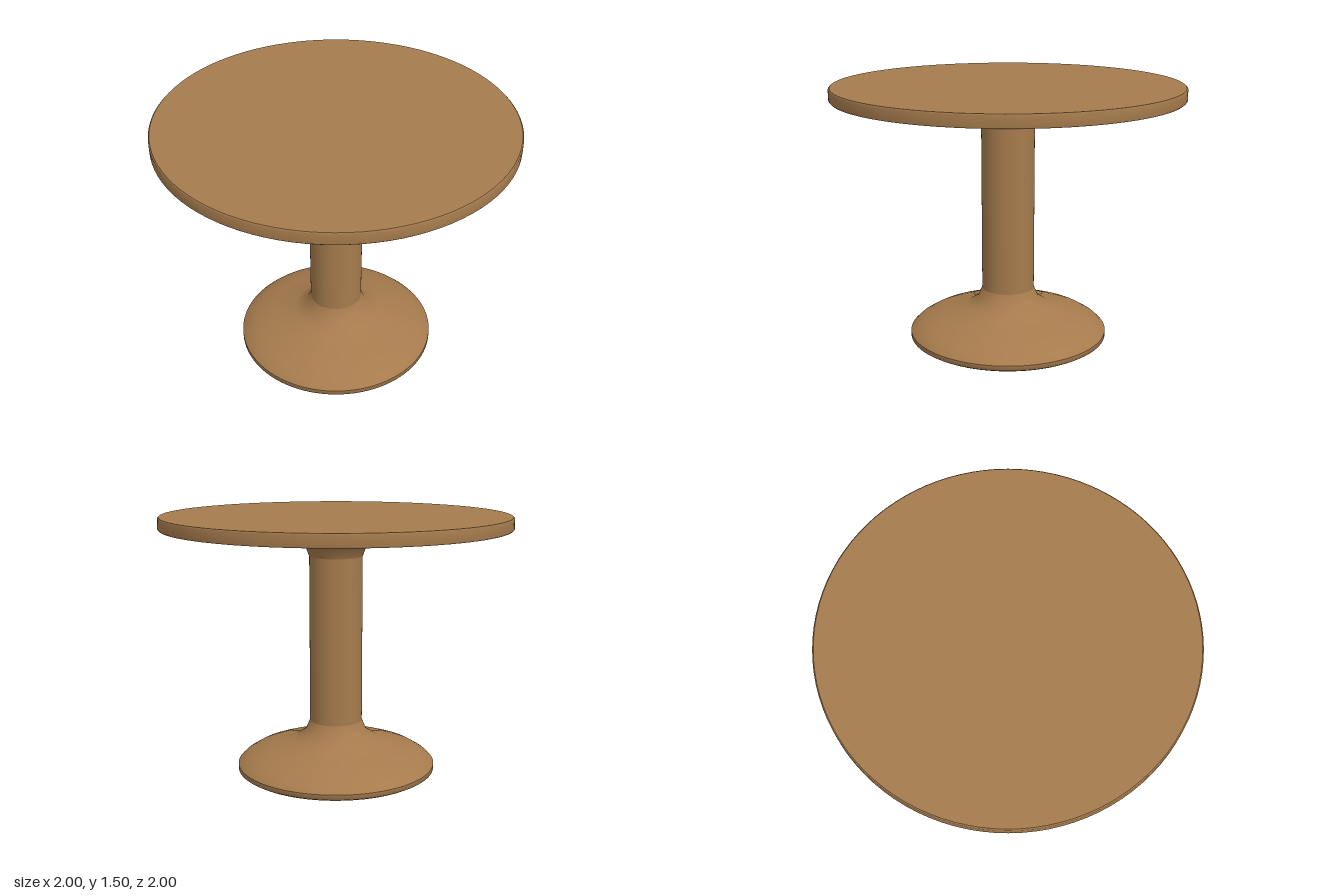
import * as THREE from 'three';

const wood = new THREE.MeshStandardMaterial({ color: 0xa67b4d });
wood.name = 'warm wood';

// Turns a profile of [radius, height] points, listed so faces point outward
function turned(name, profile) {
  const points = profile.map(([r, y]) => new THREE.Vector2(r, y));
  const mesh = new THREE.Mesh(new THREE.LatheGeometry(points, 96), wood);
  mesh.name = name;
  return mesh;
}

export function createModel() {
  const table = new THREE.Group();
  table.name = 'pedestalTable';

  // Flared foot, straight column and spreading collar in one turned piece
  const pedestal = new THREE.Group();
  pedestal.name = 'pedestal';
  pedestal.add(
    turned('footUnderside', [[0, 0], [0.56, 0]]),
    turned('footEdge', [[0.56, 0], [0.58, 0.012], [0.58, 0.04]]),
    turned('foot', [
      [0.58, 0.04], [0.555, 0.065], [0.5, 0.1], [0.39, 0.14],
      [0.25, 0.18], [0.18, 0.23], [0.153, 0.295],
    ]),
    turned('column', [[0.153, 0.295], [0.153, 1.265]]),
    turned('collar', [[0.153, 1.265], [0.18, 1.335], [0.25, 1.37], [0.4, 1.412]]),
    turned('collarEdge', [[0.4, 1.412], [0.4, 1.432]]),
  );

  // Round top with a slightly eased rim
  const top = new THREE.Group();
  top.name = 'tableTop';
  top.add(
    turned('topUnderside', [[0, 1.43], [0.993, 1.43]]),
    turned('topRim', [[0.993, 1.43], [1, 1.437], [1, 1.494], [0.993, 1.501]]),
    turned('topSurface', [[0.993, 1.501], [0, 1.501]]),
  );

  table.add(pedestal, top);
  return table;
}
